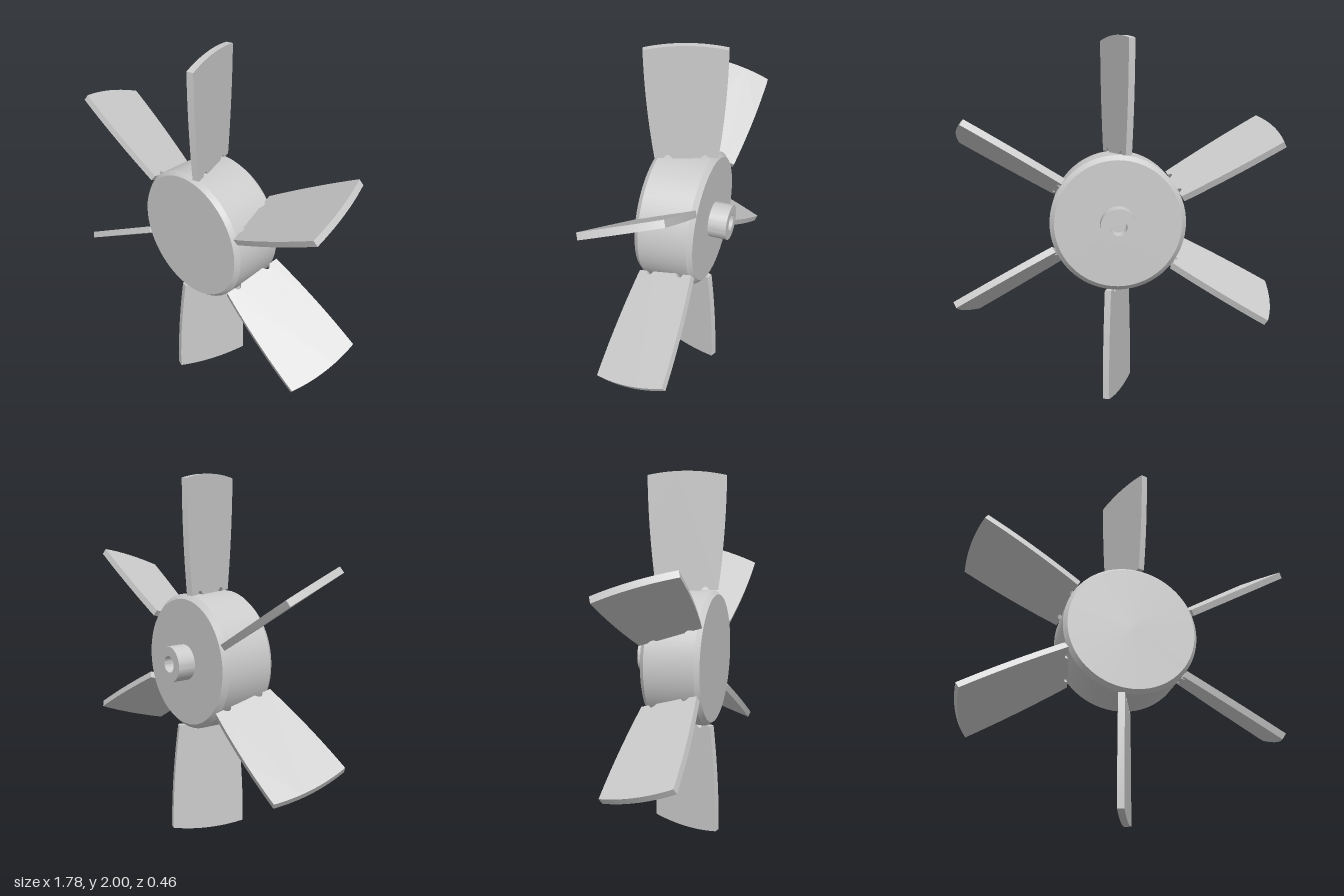
import * as THREE from 'three';
import { toCreasedNormals } from 'three/addons/utils/BufferGeometryUtils.js';

const BLADES = 6;
const PITCH = THREE.MathUtils.degToRad(19.5);
const THICKNESS = 0.036;
const MID_Z = 0.025;

const material = new THREE.MeshStandardMaterial({ color: 0xcccccc });

// Profile of [radius, z] points, listed back to front, turned about the z axis
function turned(name, profile) {
  const points = profile.map(([r, z]) => new THREE.Vector2(r, z));
  const geometry = new THREE.LatheGeometry(points, 72).rotateX(Math.PI / 2);
  const mesh = new THREE.Mesh(toCreasedNormals(geometry, 0.5), material);
  mesh.name = name;
  return mesh;
}

// Flat paddle: x runs along the chord, y outwards from the hub axis
function bladeGeometry() {
  const half = 0.209;
  const tipAngle = Math.asin(half);
  const shape = new THREE.Shape();
  shape.moveTo(0.168, 0.37);
  shape.quadraticCurveTo(0.208, 0.68, half, Math.cos(tipAngle));
  shape.absarc(0, 0, 1, Math.PI / 2 - tipAngle, Math.PI / 2 + tipAngle, false);
  shape.quadraticCurveTo(-0.208, 0.68, -0.168, 0.37);
  // root with two small relief notches beside the tab that enters the hub
  shape.lineTo(-0.12, 0.37);
  shape.quadraticCurveTo(-0.098, 0.41, -0.075, 0.37);
  shape.lineTo(-0.075, 0.34);
  shape.lineTo(0.075, 0.34);
  shape.lineTo(0.075, 0.37);
  shape.quadraticCurveTo(0.098, 0.41, 0.12, 0.37);
  shape.closePath();

  const geometry = new THREE.ExtrudeGeometry(shape, {
    depth: THICKNESS, bevelEnabled: false, curveSegments: 14,
  });
  geometry.translate(0, 0, -THICKNESS / 2);
  geometry.rotateY(PITCH - Math.PI / 2);
  geometry.translate(0, 0, MID_Z);
  return toCreasedNormals(geometry, 0.5);
}

export function createModel() {
  const fan = new THREE.Group();
  fan.name = 'fan';
  fan.position.y = 1;

  // Drum with chamfered rims
  fan.add(turned('hub', [
    [0, -0.13], [0.345, -0.13], [0.37, -0.105],
    [0.37, 0.165], [0.35, 0.19], [0, 0.19],
  ]));

  // Hollow shaft socket at the back
  fan.add(turned('shaftSocket', [
    [0.045, -0.13], [0.045, -0.232], [0.098, -0.232], [0.098, -0.13],
  ]));

  // Pitched blades around the hub
  const geometry = bladeGeometry();
  for (let i = 0; i < BLADES; i++) {
    const blade = new THREE.Mesh(geometry, material);
    blade.name = `blade${i + 1}`;
    blade.rotation.z = (i / BLADES) * Math.PI * 2;
    fan.add(blade);
  }

  const model = new THREE.Group();
  model.name = 'axialFan';
  model.add(fan);
  return model;
}
